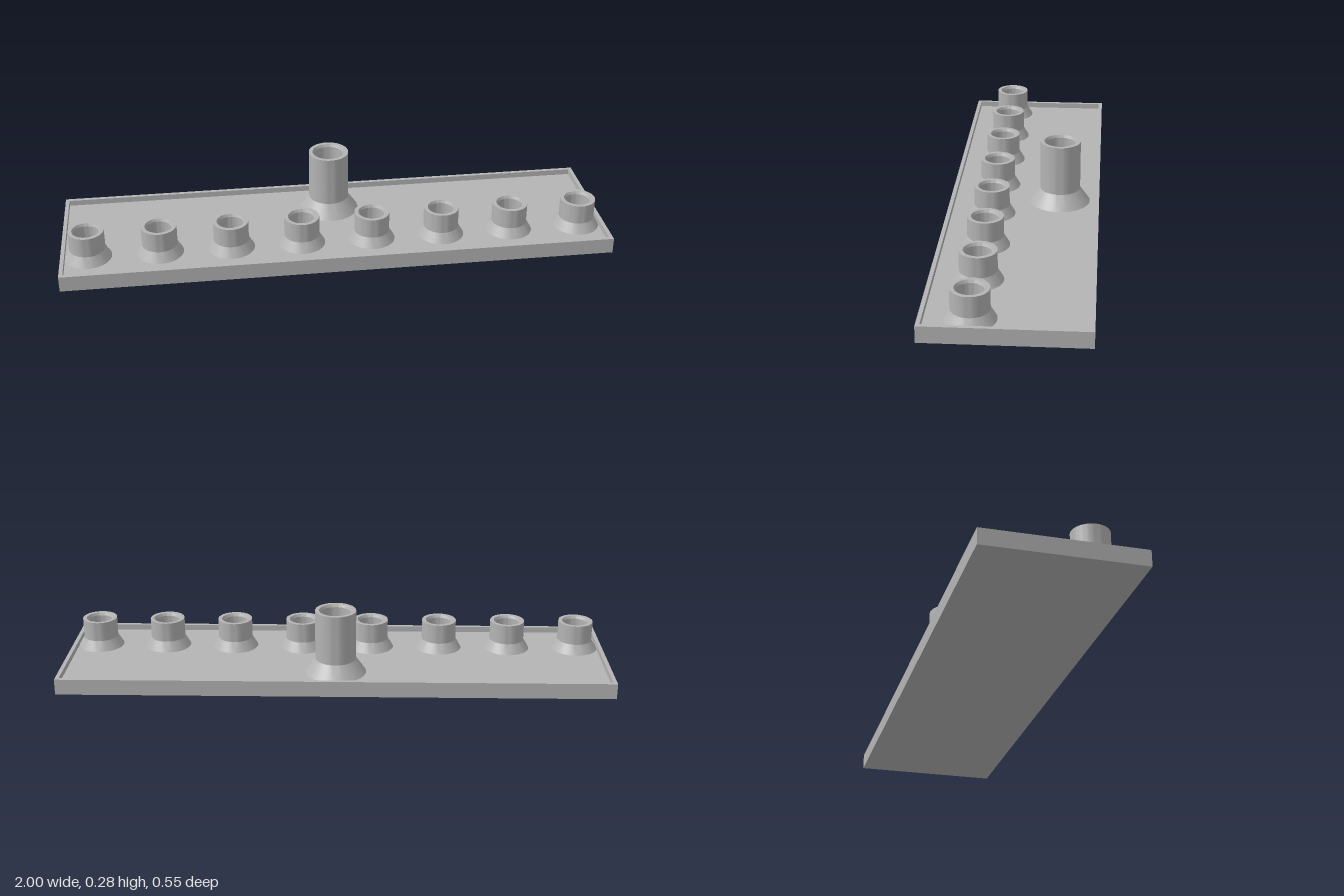
import * as THREE from 'three';
import { toCreasedNormals } from 'three/addons/utils/BufferGeometryUtils.js';

const W = 2, D = 0.55, H = 0.058, RIM = 0.014, FLOOR = 0.037;

// Hollow cup on a flared foot
function cupGeometry(footR, r, neckY, topY, boreTopR, boreR, boreY) {
  const profile = [
    [footR, FLOOR], [r, neckY], [r, topY],
    [boreTopR, topY], [boreR, topY - 0.01], [boreR, boreY], [0, boreY],
  ].map(([x, y]) => new THREE.Vector2(x, y));
  return toCreasedNormals(new THREE.LatheGeometry(profile, 48), 0.4);
}

function rectangle(PathType, w, d) {
  const p = new PathType();
  p.moveTo(-w / 2, -d / 2);
  p.lineTo(w / 2, -d / 2);
  p.lineTo(w / 2, d / 2);
  p.lineTo(-w / 2, d / 2);
  p.closePath();
  return p;
}

export function createModel() {
  const model = new THREE.Group();
  model.name = 'candleTray';
  const grey = new THREE.MeshStandardMaterial({ color: 0xb4b4b4 });
  grey.name = 'grey';

  const add = (name, geometry, x = 0, y = 0, z = 0) => {
    const mesh = new THREE.Mesh(geometry, grey);
    mesh.name = name;
    mesh.position.set(x, y, z);
    model.add(mesh);
  };

  // Tray: raised rim around a recessed floor
  const outline = rectangle(THREE.Shape, W, D);
  outline.holes.push(rectangle(THREE.Path, W - 2 * RIM, D - 2 * RIM));
  const rim = new THREE.ExtrudeGeometry(outline, { depth: H, bevelEnabled: false });
  rim.rotateX(-Math.PI / 2);
  add('trayRim', rim);
  add('trayFloor', new THREE.BoxGeometry(W - 2 * RIM, FLOOR, D - 2 * RIM), 0, FLOOR / 2, 0);

  // Row of eight small cups
  const small = cupGeometry(0.085, 0.064, 0.073, 0.146, 0.05, 0.045, 0.073);
  for (let i = 0; i < 8; i++) {
    add(`smallCup${i + 1}`, small, -0.903 + i * 0.258, 0, 0.114);
  }

  // Tall cup behind the row
  add('tallCup', cupGeometry(0.111, 0.074, 0.09, 0.275, 0.06, 0.055, 0.09), 0, 0, -0.129);

  return model;
}
